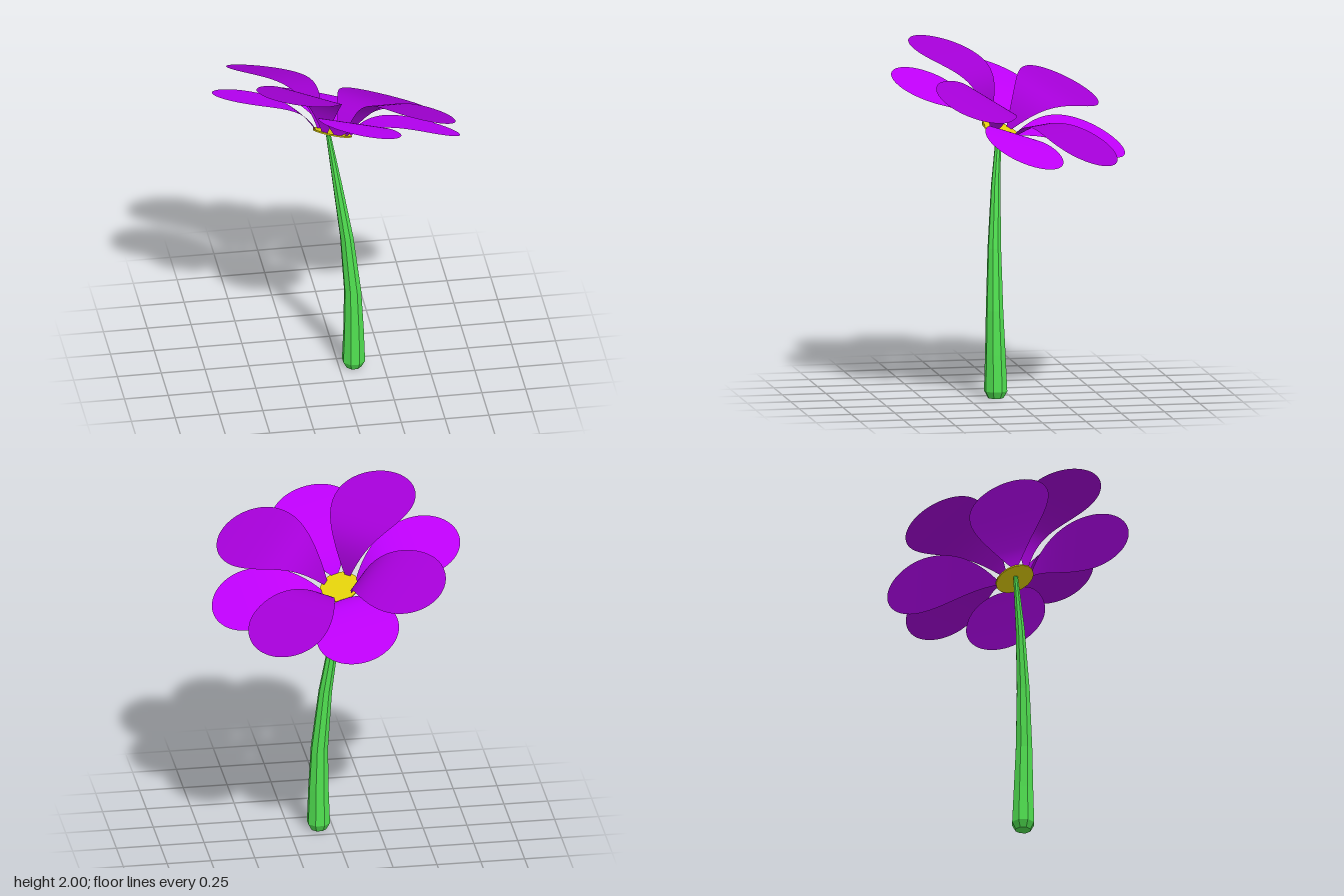
import * as THREE from 'three';

const material = (color, extra = {}) => new THREE.MeshStandardMaterial({ color, ...extra });

// Half width of a petal at t (0 base, 1 tip): a narrow foot widening to a round end
function petalHalfWidth(t) {
  const widest = 0.63, max = 0.237, foot = 0.015;
  if (t > widest) return max * Math.sqrt(Math.max(0, 1 - ((t - widest) / (1 - widest)) ** 2));
  return foot + (max - foot) * Math.sin((t / widest) * Math.PI / 2) ** 0.86;
}

// Petal lying along +x: climbs steeply from the disc, levels out, droops a little at the tip
function petalGeometry({ inner, outer, height, steepness, droop }) {
  const geo = new THREE.PlaneGeometry(1, 1, 8, 40);
  const p = geo.attributes.position;
  for (let i = 0; i < p.count; i++) {
    const t = (1 - Math.cos((p.getY(i) + 0.5) * Math.PI)) / 2;
    const across = p.getX(i) * 2;
    p.setXYZ(i,
      inner + (outer - inner) * t,
      height * (1 - (1 - t) ** steepness) - droop * t * t,
      across * petalHalfWidth(t));
  }
  geo.computeVertexNormals();
  return geo;
}

// Eight-sided stem lofted through rings of [x, y, z, radius], top to bottom
function stemGeometry() {
  const rings = [
    [-0.055, 1.51, 0.045, 0.014],
    [-0.008, 1.2, 0.072, 0.027],
    [0.044, 0.85, 0.09, 0.039],
    [0.077, 0.5, 0.095, 0.05],
    [0.083, 0.25, 0.092, 0.059],
    [0.083, 0.04, 0.09, 0.067],
    [0.083, 0, 0.09, 0.045],
  ];
  const geo = new THREE.CylinderGeometry(1, 1, 1, 8, rings.length - 1);
  geo.rotateY(Math.PI / 8);
  const p = geo.attributes.position;
  for (let i = 0; i < p.count; i++) {
    const [x, y, z, r] = rings[Math.round((0.5 - p.getY(i)) * (rings.length - 1))];
    p.setXYZ(i, x + p.getX(i) * r, y, z + p.getZ(i) * r);
  }
  geo.computeVertexNormals();
  return geo;
}

export function createModel() {
  const model = new THREE.Group();
  model.name = 'flower';

  const stem = new THREE.Mesh(stemGeometry(), material(0x50e050, { flatShading: true }));
  stem.name = 'stem';
  model.add(stem);

  // Flower head, tilted on top of the stem
  const head = new THREE.Group();
  head.name = 'flowerHead';
  const normal = new THREE.Vector3(0.27, 1, -0.37).normalize();
  const side = new THREE.Vector3(1, -0.27, 0).normalize();
  const forward = new THREE.Vector3().crossVectors(side, normal);
  head.quaternion.setFromRotationMatrix(new THREE.Matrix4().makeBasis(side, normal, forward));
  head.position.set(-0.03, 1.51, 0.04);
  model.add(head);

  const disc = new THREE.Mesh(new THREE.CylinderGeometry(0.113, 0.113, 0.008, 16),
    material(0xe2d00a, { flatShading: true }));
  disc.name = 'centreDisc';
  head.add(disc);

  // Two alternating layers of four petals, each petal given as [angle, height];
  // angles run counter-clockwise from +x seen from above
  const layers = [
    {
      name: 'lowerPetal', color: 0xbf00ff,
      petals: [[0, 0.128], [91, 0.124], [180, 0.133], [272, 0.138]],
      shape: { inner: 0.1, outer: 0.727, steepness: 5, droop: 0.022 },
    },
    {
      name: 'upperPetal', color: 0xa400d6,
      petals: [[45, 0.2], [135, 0.247], [226.5, 0.24], [317.5, 0.256]],
      shape: { inner: 0.09, outer: 0.722, steepness: 6.5, droop: 0.03 },
    },
  ];
  for (const { name, color, petals, shape } of layers) {
    const mat = material(color, { side: THREE.DoubleSide });
    petals.forEach(([angle, height], i) => {
      const petal = new THREE.Mesh(petalGeometry({ ...shape, height }), mat);
      petal.name = name + (i + 1);
      petal.rotation.y = THREE.MathUtils.degToRad(angle);
      head.add(petal);
    });
  }
  return model;
}
